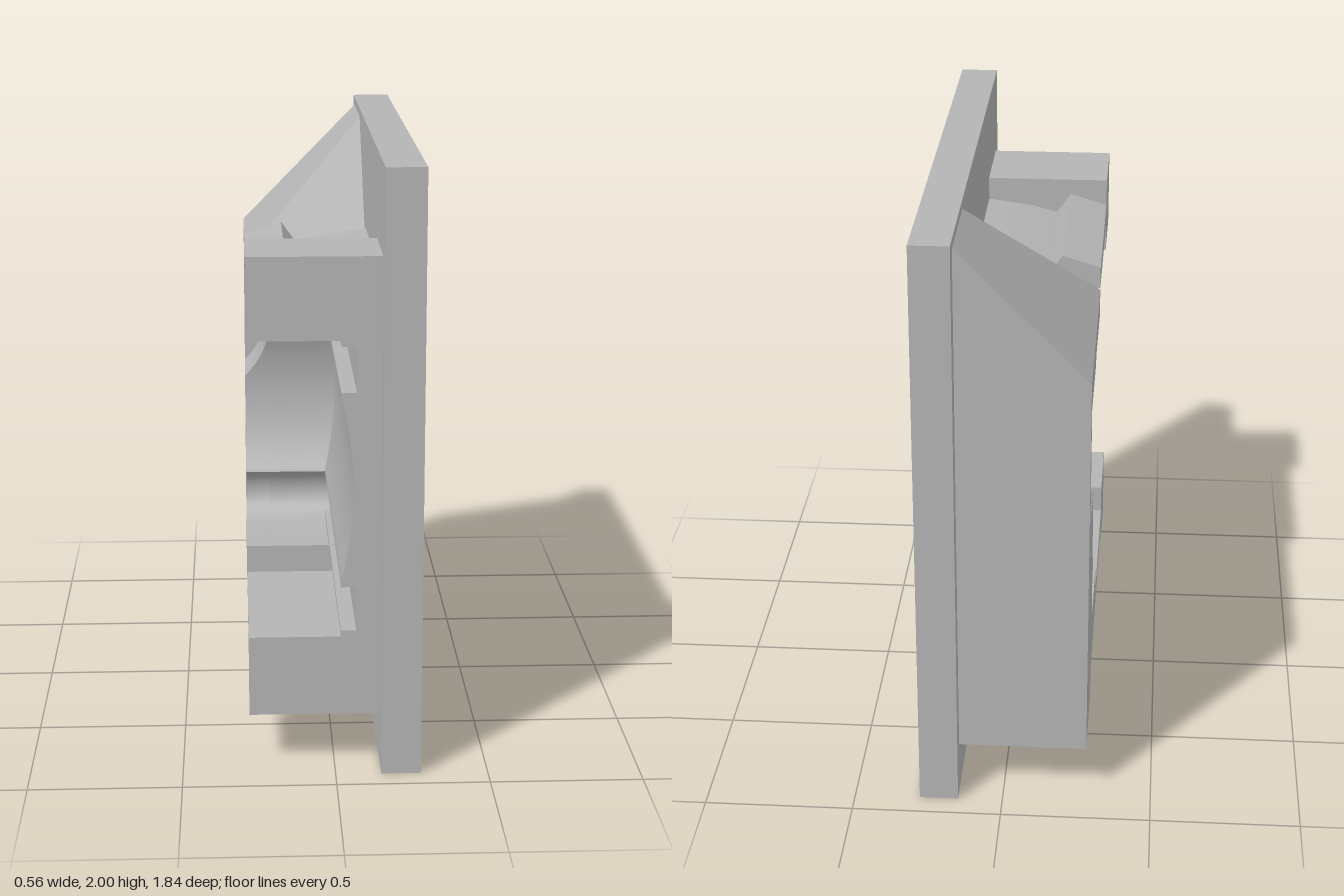
import * as THREE from 'three';
import { toCreasedNormals } from 'three/addons/utils/BufferGeometryUtils.js';
import { ConvexGeometry } from 'three/addons/geometries/ConvexGeometry.js';

const MID = 0.945; // height the cavity is symmetric about
const XL = -0.28, XP = 0.15; // outer face of the housing, face of the plate

// depth of the cavity's back wall: large arc with a small round lobe above and below
function wallZ(y) {
  const d = Math.abs(y - MID);
  if (d < 0.305) return -Math.sqrt(0.53 ** 2 - d * d);
  return -0.4 - Math.sqrt(Math.max(0, 0.095 ** 2 - (d - 0.4) ** 2));
}

function range(a, b, n) {
  return Array.from({ length: n + 1 }, (_, i) => a + (b - a) * i / n);
}

export function createModel() {
  const group = new THREE.Group();
  const grey = new THREE.MeshStandardMaterial({ color: 0xb4b4b4 });
  grey.name = 'light grey';
  grey.side = THREE.DoubleSide;

  const add = (name, geometry) => {
    const mesh = new THREE.Mesh(geometry, grey);
    mesh.name = name;
    group.add(mesh);
  };
  const box = (name, x0, x1, y0, y1, z0, z1) => {
    const g = new THREE.BoxGeometry(x1 - x0, y1 - y0, z1 - z0);
    add(name, g.translate((x0 + x1) / 2, (y0 + y1) / 2, (z0 + z1) / 2));
  };
  const extrude = (pts, depth) => new THREE.ExtrudeGeometry(
    new THREE.Shape(pts.map(p => new THREE.Vector2(p[0], p[1]))), { depth, bevelEnabled: false });
  // [z, y] outline swept along x
  const alongX = (name, pts, x0, x1) => {
    const g = extrude(pts.map(([z, y]) => [-z, y]), x1 - x0).rotateY(Math.PI / 2).translate(x0, 0, 0);
    add(name, toCreasedNormals(g, 0.5));
  };
  // [x, y] outline swept along z
  const alongZ = (name, pts, z0, z1) =>
    add(name, toCreasedNormals(extrude(pts, z1 - z0).translate(0, 0, z0), 0.3));

  // square mounting plate
  box('mountingPlate', XP, 0.28, 0, 2, -0.92, 0.92);

  // rear block: outline with the cavity wall, and a notch for the thumb groove
  const G0 = 0.986, G1 = 1.414, GZ = -0.79, GX = -0.19;
  const lobe = s => range(-Math.PI / 2, Math.PI / 2, 16).map(a =>
    [-0.4 - 0.095 * Math.cos(a), MID + s * 0.4 + 0.095 * Math.sin(a)]);
  const arc = range(MID - 0.304, MID + 0.304, 24).map(y => [wallZ(y), y]);
  const wall = [...lobe(-1), ...arc, ...lobe(1)];
  const foot = [[-0.86, 0.18], [-0.52, 0.18], [-0.52, 0.345], [-0.09, 0.345], [-0.09, 0.45]];
  const head = [[-0.09, 1.44], [-0.09, 1.53], [-0.86, 1.53]];
  alongX('rearBlock', [...foot, ...wall, ...head], GX, XP);
  alongX('rearBlockOuter', [
    ...foot, ...wall.filter(p => p[1] < G0), [wallZ(G0), G0], [GZ, G0],
    [GZ, G1], [wallZ(G1), G1], ...wall.filter(p => p[1] > G1), ...head,
  ], XL, GX);

  // thumb groove: curved floor, then the cavity wall below its edge
  const pos = [], index = [];
  range(G0, G1, 40).forEach((y, i) => {
    const x = Math.max(XL, -0.49 + Math.sqrt(0.09 - (y - 1.2) ** 2));
    const z = wallZ(y);
    pos.push(x, y, GZ, x, y, z, GX, y, z);
    if (i === 0) return;
    const b = i * 3, a = b - 3;
    for (const k of [0, 1]) index.push(a + k, a + k + 1, b + k, b + k, a + k + 1, b + k + 1);
  });
  const groove = new THREE.BufferGeometry();
  groove.setAttribute('position', new THREE.Float32BufferAttribute(pos, 3));
  groove.setIndex(index.reverse());
  groove.computeVertexNormals();
  add('thumbGroove', toCreasedNormals(groove, 0.5));

  // end wall of the groove's corners
  const ends = [[G0, 1], [G1, -1]];
  for (const [y, s] of ends) {
    const edge = range(0, 0.214, 10).map(t =>
      [Math.max(XL, -0.49 + Math.sqrt(0.09 - (y + s * t - 1.2) ** 2)), y + s * t]);
    alongZ('grooveCorner', [...edge, [GX, y]], GZ, GZ + 0.005);
  }

  // sloped gusset on top of the rear block
  add('topGusset', new ConvexGeometry([
    [XP, 1.53, -0.86], [XP, 1.97, -0.86], [XL, 1.53, -0.86],
    [XP, 1.97, -0.51], [XL, 1.53, -0.08], [XP, 1.53, -0.08],
  ].map(p => new THREE.Vector3(...p))));

  // front legs
  box('upperFrontLeg', XL, XP, 1.44, 1.71, 0.53, 0.84);
  box('lowerFrontLeg', XL, XP, 0.18, 0.45, 0.53, 0.84);

  // thin lipped rails between the legs and the rear block
  const rail = [[XL, 1.54], [XP, 1.54], [XP, 1.63], [0.0, 1.61], [-0.1, 1.585], [-0.15, 1.655], [XL, 1.615]];
  alongZ('upperRail', rail, -0.09, 0.53);
  alongZ('lowerRail', rail.map(([x, y]) => [x, 2 * MID - y]).reverse(), -0.52, 0.53);

  // cavity floor: shallow scoop in the middle with a channel on each side
  const half = [[0.02, 0.305], [0.02, 0.325], [0.07, 0.325], [0.07, 0.475], [0.02, 0.475], [0.02, 0.495], [XP, 0.495]];
  const scoop = range(-0.29, 0.29, 20).map(d => [0.02 + 0.04 * (1 - (d / 0.305) ** 2), MID + d]);
  alongZ('cavityFloor', [
    ...half.map(([x, d]) => [x, MID - d]).reverse(), ...scoop,
    ...half.map(([x, d]) => [x, MID + d]),
  ], -0.54, 0.84);

  return group;
}
